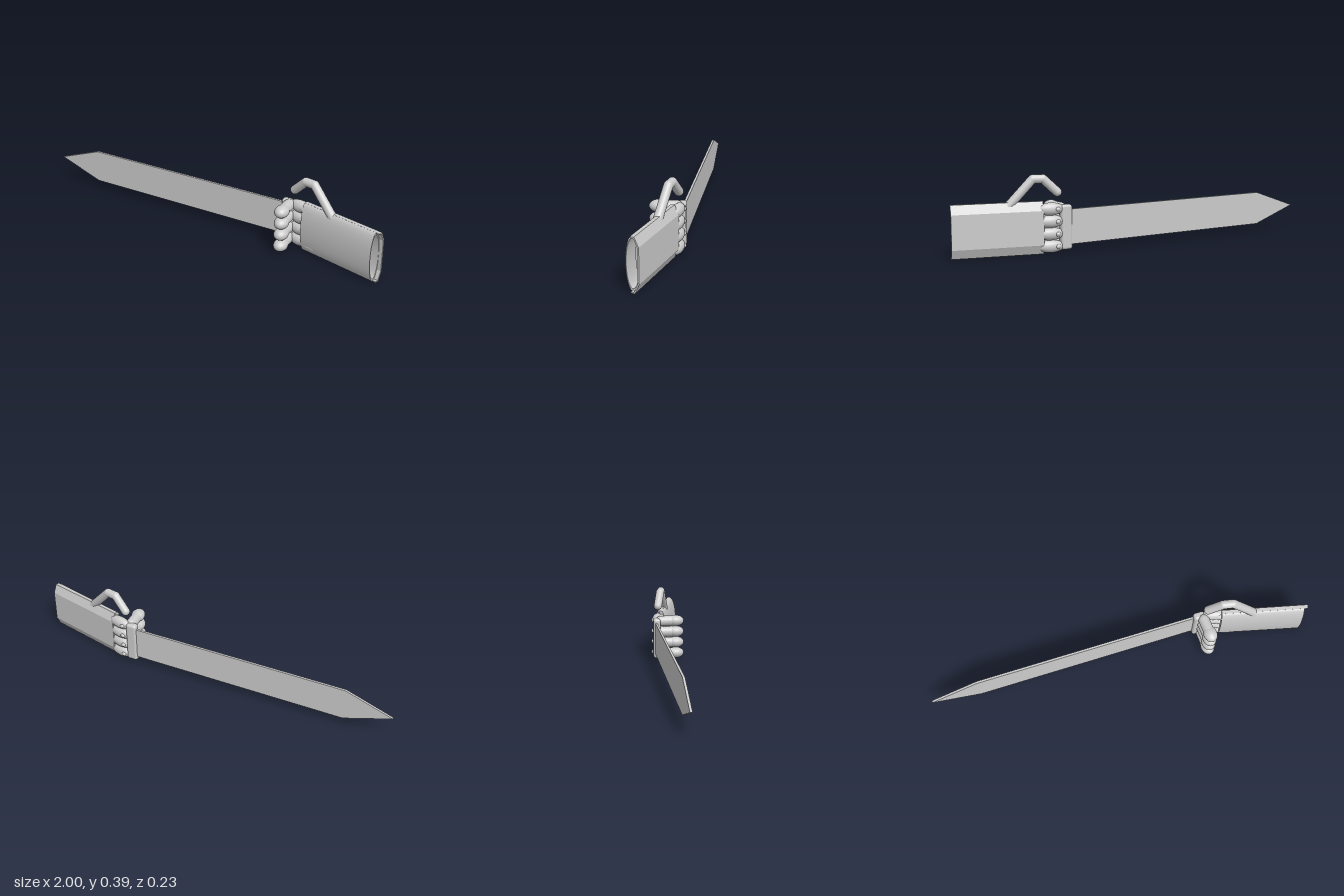
import * as THREE from 'three';
import { RoundedBoxGeometry } from 'three/addons/geometries/RoundedBoxGeometry.js';

const grey = new THREE.MeshStandardMaterial({ color: 0xcccccc });
const greyOpen = new THREE.MeshStandardMaterial({ color: 0xcccccc, side: THREE.DoubleSide });
const V = (x, y, z) => new THREE.Vector3(x, y, z);
const MID = 0.135; // height of the arm's axis

function add(parent, name, geometry, material = grey) {
  const mesh = new THREE.Mesh(geometry, material);
  mesh.name = name;
  parent.add(mesh);
  return mesh;
}

// Capsule between two points
function limb(parent, name, a, b, r) {
  const dir = b.clone().sub(a);
  const mesh = add(parent, name, new THREE.CapsuleGeometry(r, dir.length(), 8, 20));
  mesh.position.copy(a).lerp(b, 0.5);
  mesh.quaternion.setFromUnitVectors(V(0, 1, 0), dir.normalize());
  return mesh;
}

function ellipsoid(parent, name, center, radii, turn = 0) {
  const mesh = add(parent, name, new THREE.SphereGeometry(1, 24, 16));
  mesh.position.copy(center);
  mesh.scale.copy(radii);
  mesh.rotation.y = turn;
  return mesh;
}

// Elliptical sleeve with a rolled wall thickness, running along x
function sleeveGeometry(length) {
  const h = length / 2;
  const profile = [[0.92, h - 0.1], [0.9, h], [1, h], [1, -h], [0.6, -h], [0, -h]]
    .map(([r, y]) => new THREE.Vector2(r, y)).reverse();
  // doubled corners keep the rim and the wrist end crisp
  const crisp = profile.flatMap((p) => [p, p.clone()]);
  const geometry = new THREE.LatheGeometry(crisp, 48);
  geometry.rotateZ(-Math.PI / 2);
  const p = geometry.attributes.position;
  for (let i = 0; i < p.count; i++) {
    const t = (p.getX(i) + h) / length;
    p.setY(i, p.getY(i) * 0.13);
    p.setZ(i, p.getZ(i) * (0.028 + 0.006 * t));
  }
  geometry.computeVertexNormals();
  return geometry;
}

// Chamfered shell on the back of the forearm, extruded along x
function plateGeometry(length) {
  const outer = [[0.002, 0.13], [-0.018, 0.131], [-0.039, 0.085]];
  const inner = [[0.002, 0.124], [-0.014, 0.124], [-0.032, 0.082]];
  const flip = (pts) => pts.map(([z, y]) => [z, -y]).reverse();
  const loop = [...outer, ...flip(outer), ...inner.map(([z, y]) => [z, -y]), ...flip(inner).map(([z, y]) => [z, -y * -1])];
  // last run walks the inner side back up to the start
  const path = [...outer, ...flip(outer), ...inner.map(([z, y]) => [z, -y]), ...[...inner].reverse()];
  const shape = new THREE.Shape((loop.length === path.length ? path : loop)
    .map(([z, y]) => new THREE.Vector2(-z, y)));
  const geometry = new THREE.ExtrudeGeometry(shape, { depth: length, bevelEnabled: false });
  geometry.translate(0, 0, -length / 2);
  geometry.rotateY(Math.PI / 2); // shape x becomes -z, depth becomes x
  return geometry;
}

export function createModel() {
  const model = new THREE.Group();
  model.name = 'bladedGauntlet';

  // Blade: thin pointed strip leaning forward towards its tip
  const outline = new THREE.Shape();
  [[0, 0], [0.25, 0.088], [1.45, 0.088], [1.45, -0.088], [0.25, -0.088]]
    .forEach(([x, y], i) => (i ? outline.lineTo(x, y) : outline.moveTo(x, y)));
  const bladeGeometry = new THREE.ExtrudeGeometry(outline, { depth: 0.012, bevelEnabled: false });
  bladeGeometry.translate(0, 0, -0.006);
  const blade = add(model, 'blade', bladeGeometry);
  blade.position.set(-1, 0.132, 0.111);
  blade.rotation.y = 0.137;

  // Guard across the fingers
  const guard = add(model, 'guard', new RoundedBoxGeometry(0.06, 0.225, 0.04, 4, 0.014));
  guard.position.set(0.437, 0.132, -0.083);
  guard.rotation.y = 0.137;

  // Forearm sleeve and back plate share one tilted group
  const forearm = new THREE.Group();
  forearm.name = 'forearm';
  forearm.position.set(0.765, MID, -0.041);
  forearm.rotation.y = -0.1;
  model.add(forearm);
  add(forearm, 'sleeve', sleeveGeometry(0.43), greyOpen);
  const plate = add(forearm, 'backPlate', plateGeometry(0.45), greyOpen);
  plate.position.x = 0.01;

  // Four curled fingers
  for (let i = 0; i < 4; i++) {
    const y = 0.04 + i * 0.0617;
    const finger = new THREE.Group();
    finger.name = 'finger' + (i + 1);
    model.add(finger);
    ellipsoid(finger, 'palmBone', V(0.6, y, -0.062), V(0.1, 0.026, 0.025), -0.1);
    ellipsoid(finger, 'innerPhalanx', V(0.515, y, -0.082), V(0.068, 0.032, 0.029), -0.06);
    ellipsoid(finger, 'knuckle', V(0.485, y, -0.104), V(0.014, 0.012, 0.012));
    limb(finger, 'middlePhalanx', V(0.458, y, -0.062), V(0.47, y, 0.0), 0.029);
    ellipsoid(finger, 'fingertip', V(0.475, y, 0.022), V(0.036, 0.031, 0.047), 0.2);
  }

  // Thumb bent forward above the hand
  const thumb = new THREE.Group();
  thumb.name = 'thumb';
  model.add(thumb);
  const joints = [V(0.72, 0.245, -0.05), V(0.6, 0.374, -0.065), V(0.548, 0.374, -0.068), V(0.478, 0.307, -0.078)];
  ['thumbBase', 'thumbMiddle', 'thumbTip'].forEach((name, i) =>
    limb(thumb, name, joints[i], joints[i + 1], 0.0225));

  return model;
}
